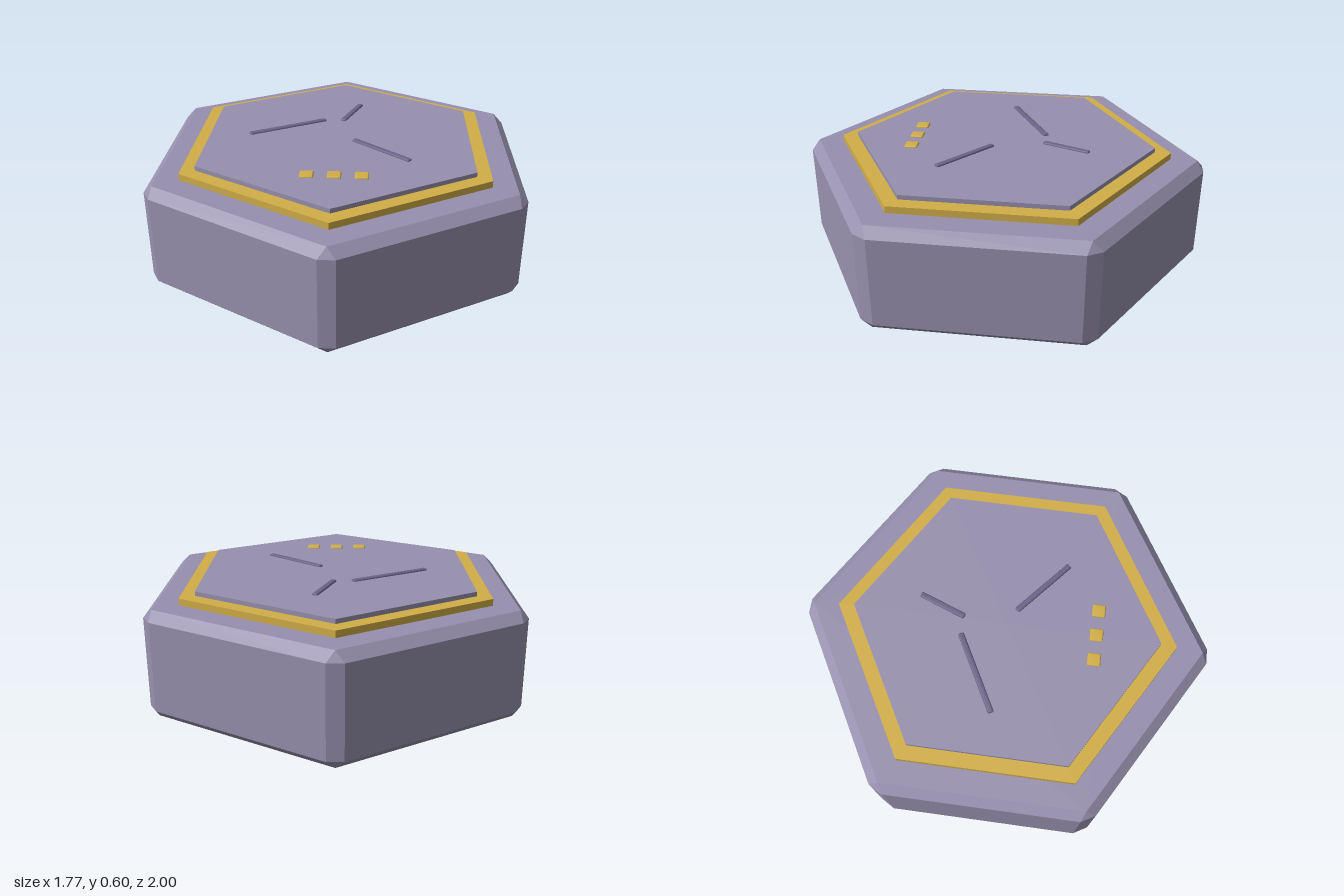
import * as THREE from 'three';
import { mergeVertices } from 'three/addons/utils/BufferGeometryUtils.js';
import { RoundedBoxGeometry } from 'three/addons/geometries/RoundedBoxGeometry.js';
import { ConvexGeometry } from 'three/addons/geometries/ConvexGeometry.js';

const material = (name, color) => {
  const m = new THREE.MeshStandardMaterial({ color });
  m.name = name;
  return m;
};

// Hexagonal slab with corners on the z axis
function hexPlate(radius, bottom, top) {
  const g = new THREE.CylinderGeometry(radius, radius, top - bottom, 6).toNonIndexed();
  g.computeVertexNormals();
  g.translate(0, (top + bottom) / 2, 0);
  return g;
}

// Hexagonal block with every edge chamfered
function chamferedHex(apothem, height, bevel) {
  const points = [];
  const half = apothem / Math.sqrt(3) - bevel;
  const inner = (apothem - bevel) * 2 / Math.sqrt(3);
  for (let i = 0; i < 6; i++) {
    const a = i * Math.PI / 3;
    const c = a + Math.PI / 6;
    for (const y of [0, height]) {
      points.push(new THREE.Vector3(Math.cos(c) * inner, y, Math.sin(c) * inner));
    }
    for (const y of [bevel, height - bevel]) {
      for (const t of [-half, half]) {
        points.push(new THREE.Vector3(
          Math.cos(a) * apothem - Math.sin(a) * t, y,
          Math.sin(a) * apothem + Math.cos(a) * t));
      }
    }
  }
  return new ConvexGeometry(points);
}

// Small bevelled block with soft shading across its edges
function softBlock(w, h, d, r) {
  let g = new RoundedBoxGeometry(w, h, d, 1, r);
  g.deleteAttribute('normal');
  g.deleteAttribute('uv');
  g = mergeVertices(g, 1e-4);
  g.computeVertexNormals();
  return g;
}

export function createModel() {
  const model = new THREE.Group();
  model.name = 'hexTile';
  const stone = material('stone', 0x9790ae);
  const gold = material('gold', 0xd2ae48);
  const groove = material('darkStone', 0x6a6488);

  const add = (name, geometry, mat) => {
    const mesh = new THREE.Mesh(geometry, mat);
    mesh.name = name;
    model.add(mesh);
    return mesh;
  };

  // Body, gold border and raised face
  add('body', chamferedHex(0.885, 0.533, 0.045), stone);
  add('goldBorder', hexPlate(0.838, 0.5, 0.566), gold);
  add('topPlate', hexPlate(0.758, 0.55, 0.588), stone);

  // Crack strokes: x and z of both ends
  const cracks = [
    [-0.455, -0.01, -0.08, -0.213],
    [0.01, -0.207, 0.098, -0.438],
    [0.076, 0.042, 0.352, 0.272],
  ];
  cracks.forEach(([x1, z1, x2, z2], i) => {
    const length = Math.hypot(x2 - x1, z2 - z1);
    const mesh = add('crack' + (i + 1), softBlock(length, 0.026, 0.03, 0.007), groove);
    mesh.position.set((x1 + x2) / 2, 0.584, (z1 + z2) / 2);
    mesh.rotation.y = -Math.atan2(z2 - z1, x2 - x1);
  });

  // Row of three gold studs
  for (let i = -1; i <= 1; i++) {
    const stud = add('stud' + (i + 2), softBlock(0.065, 0.026, 0.065, 0.007), gold);
    stud.position.set(i * 0.127, 0.584, 0.442);
  }
  return model;
}
